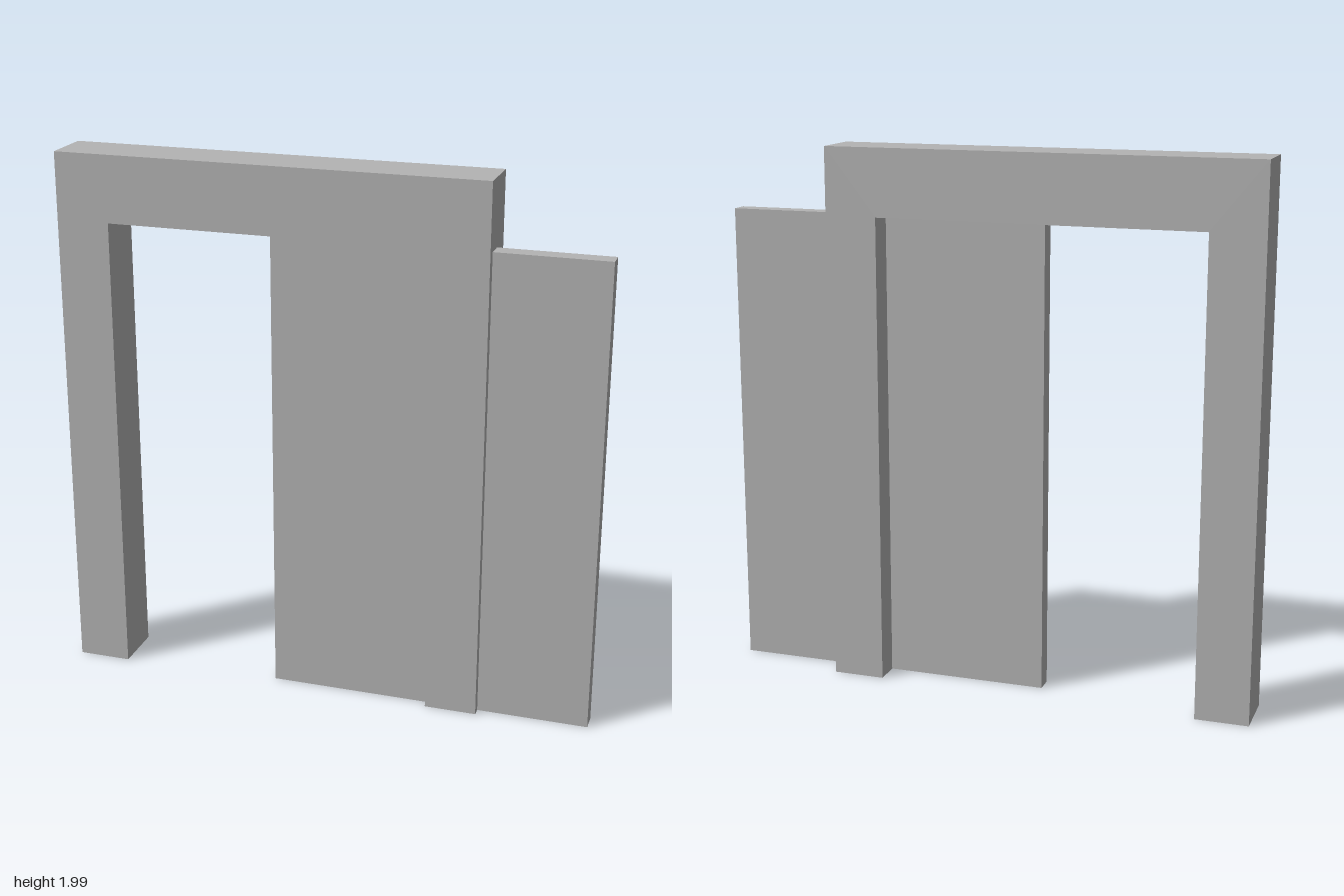
import * as THREE from 'three';

const HALF_DEPTH = 0.099;

// Portal outline, counter-clockwise; the feet of both posts are left open.
const OUTLINE = [
  [-0.803, 0], [-0.803, 1.746], [0.398, 1.746], [0.398, 0],
  [0.59, 0], [0.59, 1.993], [-1, 1.993], [-1, 0],
];

// Reveals and outer sides: one quad per outline edge, skipping the open feet
function frameSides() {
  const positions = [];
  for (let i = 0; i < OUTLINE.length - 1; i++) {
    const [ax, ay] = OUTLINE[i];
    const [bx, by] = OUTLINE[i + 1];
    if (ay === 0 && by === 0) continue;
    const a = [ax, ay, HALF_DEPTH], b = [ax, ay, -HALF_DEPTH];
    const c = [bx, by, -HALF_DEPTH], d = [bx, by, HALF_DEPTH];
    positions.push(...a, ...b, ...c, ...a, ...c, ...d);
  }
  const geometry = new THREE.BufferGeometry();
  geometry.setAttribute('position', new THREE.Float32BufferAttribute(positions, 3));
  geometry.computeVertexNormals();
  return geometry;
}

export function createModel() {
  const model = new THREE.Group();
  model.name = 'slidingDoor';

  const grey = new THREE.MeshStandardMaterial({ color: 0xb4b4b4, side: THREE.DoubleSide });
  grey.name = 'plain grey';

  const add = (name, geometry, parent) => {
    const mesh = new THREE.Mesh(geometry, grey);
    mesh.name = name;
    parent.add(mesh);
    return mesh;
  };

  // Hollow door frame
  const frame = new THREE.Group();
  frame.name = 'doorFrame';
  model.add(frame);
  const shape = new THREE.Shape(OUTLINE.map(([x, y]) => new THREE.Vector2(x, y)));
  add('frameFront', new THREE.ShapeGeometry(shape), frame).position.z = HALF_DEPTH;
  // The back is the same face wound the other way
  const back = new THREE.ShapeGeometry(shape);
  back.index.array.reverse();
  back.computeVertexNormals();
  add('frameBack', back, frame).position.z = -HALF_DEPTH;
  add('frameSides', frameSides(), frame);

  // Sliding panel, half open and running through the left post
  const panel = add('slidingPanel', new THREE.BoxGeometry(1.202, 1.745, 0.066), model);
  panel.position.set(0.399, 0.8725, 0.033);

  return model;
}
